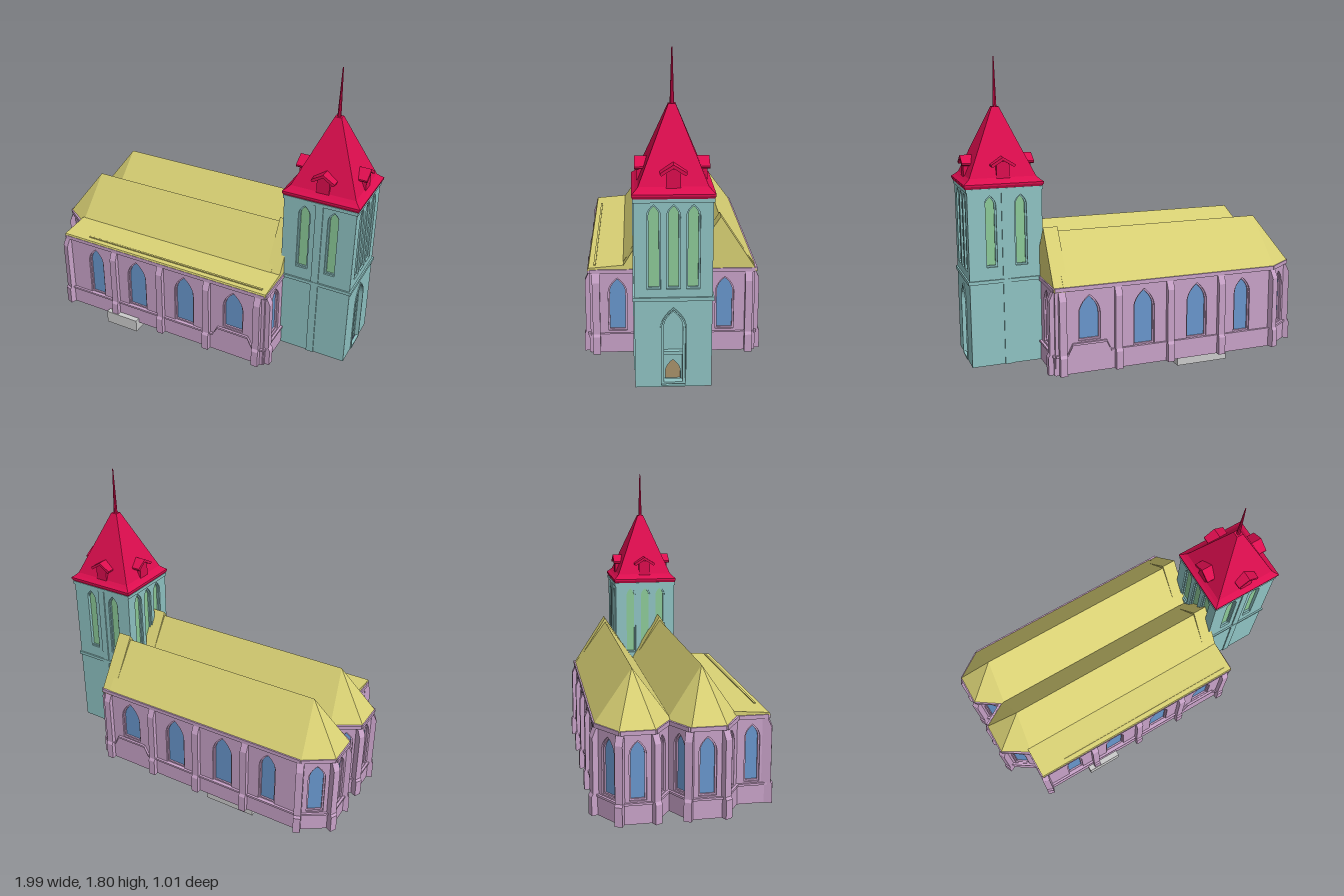
import * as THREE from 'three';
import { ConvexGeometry } from 'three/addons/geometries/ConvexGeometry.js';

const mat = (color) => new THREE.MeshStandardMaterial({ color, flatShading: true });
const M = {
  wall: mat(0xc8a2c8), roof: mat(0xd9d174), glass: mat(0x6896cc), tower: mat(0x8fc3c3), louvre: mat(0x8cca98),
  spire: mat(0xdc0d4e), floor: mat(0x3a4050), wood: mat(0xa8916a), stone: mat(0xcccccc),
};

function add(parent, name, geo, material) {
  const m = new THREE.Mesh(geo, material);
  m.name = name;
  parent.add(m);
  return m;
}

function box(parent, name, material, [x0, x1], [y0, y1], [z0, z1]) {
  const m = add(parent, name, new THREE.BoxGeometry(x1 - x0, y1 - y0, z1 - z0), material);
  m.position.set((x0 + x1) / 2, (y0 + y1) / 2, (z0 + z1) / 2);
  return m;
}

const polygon = (pts) => new THREE.Shape(pts.map(([x, y]) => new THREE.Vector2(x, y)));

// Extrudes a shape so that it lies between local z = back and z = front
function slab(parent, name, shape, material, back, front) {
  const geo = new THREE.ExtrudeGeometry(shape, { depth: front - back, bevelEnabled: false, curveSegments: 6 });
  geo.translate(0, 0, back);
  return add(parent, name, geo, material);
}

// Pointed-arch outline centred on u
function arch(u, w, y0, y1, Type = THREE.Shape) {
  const h = w * 0.9, r = w / 2, ys = y1 - h, s = new Type();
  s.moveTo(u - r, y0).lineTo(u + r, y0).lineTo(u + r, ys);
  s.quadraticCurveTo(u + r, ys + h * 0.55, u, y1);
  s.quadraticCurveTo(u - r, ys + h * 0.55, u - r, ys);
  s.closePath();
  return s;
}

function archRing(u, w, y0, y1, t) {
  const s = arch(u, w, y0, y1);
  s.holes.push(arch(u, w - 2 * t, y0 + t, y1 - t * 1.3, THREE.Path));
  return s;
}

// Wall from a to b: local x runs along it, local z points outward
function facade(parent, name, a, b, { y0 = 0.05, y1 = 0.55, depth = 0.03, material, pane, openings = [], holes = [] }) {
  const g = new THREE.Group();
  g.name = name;
  const dx = b[0] - a[0], dz = b[1] - a[1], len = Math.hypot(dx, dz);
  g.position.set(a[0], 0, a[1]);
  g.rotation.y = Math.atan2(-dz, dx);
  const s = polygon([[0, y0], [len, y0], [len, y1], [0, y1]]);
  for (const o of [...openings, ...holes]) s.holes.push(arch(...o, THREE.Path));
  slab(g, 'wallPanel', s, material, -depth, 0);
  for (const o of openings) {
    slab(g, 'windowPane', arch(...o), pane, -0.028, -0.02);
    slab(g, 'windowFrame', archRing(...o, 0.009), material, -0.022, -0.01);
  }
  parent.add(g);
  return { g, len };
}

// Stepped buttress with a sloping top, facing direction (dx, dz)
function buttress(parent, x, z, dx, dz) {
  const s = polygon([[-0.025, 0.05], [0.036, 0.05], [0.036, 0.155], [0.027, 0.17], [0.027, 0.48], [0, 0.54], [-0.025, 0.54]]);
  const geo = new THREE.ExtrudeGeometry(s, { depth: 0.042, bevelEnabled: false });
  geo.rotateY(-Math.PI / 2).translate(0.021, 0, 0);
  const m = add(parent, 'buttress', geo, M.wall);
  m.position.set(x, 0, z);
  m.rotation.y = Math.atan2(dx, dz);
}

function buildNave(root) {
  const g = new THREE.Group();
  g.name = 'nave';
  root.add(g);
  const plan = [[-0.81, 0.46], [0.57, 0.46], [0.57, -0.47], [-0.8, -0.47], [-0.96, -0.36], [-0.96, -0.18],
    [-0.82, -0.085], [-0.96, 0], [-0.96, 0.19], [-0.81, 0.29]];
  const bays = [[-0.595, 0.105, 0.165, 0.5], [-0.295, 0.13, 0.165, 0.5], [0.04, 0.13, 0.165, 0.5], [0.37, 0.13, 0.235, 0.5]];
  plan.forEach((a, i) => {
    const b = plan[(i + 1) % plan.length];
    const len = Math.hypot(b[0] - a[0], b[1] - a[1]);
    let openings = [[len / 2, Math.min(0.1, len * 0.5), 0.175, 0.5]];
    let rise = null;
    if (i === 0) { openings = bays.map(([x, ...r]) => [x + 0.81, ...r]); rise = 0.37 + 0.81; }
    if (i === 1) openings = [[0.155, 0.105, 0.18, 0.5], [0.76, 0.105, 0.18, 0.5]];
    if (i === 2) { openings = bays.map(([x, ...r]) => [0.57 - x, ...r]); rise = 0.2; }
    const { g: f } = facade(g, 'naveWall', a, b, { material: M.wall, pane: M.glass, openings });
    // Plinth and string course, stepping up below the raised window
    const line = (o) => {
      const bump = rise === null ? [] : [[rise - 0.13, 0.155], [rise - 0.1, 0.215], [rise + 0.1, 0.215], [rise + 0.13, 0.155]];
      return [[0, 0.155], ...bump, [len, 0.155]].map(([u, y]) => [u, y + o]);
    };
    slab(f, 'plinth', polygon([[0, 0.05], ...line(0), [len, 0.05]]), M.wall, 0, 0.007);
    slab(f, 'stringCourse', polygon([...line(0), ...line(0.012).reverse()]), M.wall, 0, 0.014);
    box(f, 'cornice', M.wall, [0, len], [0.53, 0.553], [0, 0.012]);
  });
  for (const x of [-0.45, -0.12, 0.2, 0.53]) {
    buttress(g, x, 0.46, 0, 1);
    buttress(g, x, -0.47, 0, -1);
  }
  buttress(g, 0.57, 0.425, 1, 0);
  buttress(g, 0.57, -0.435, 1, 0);
  buttress(g, -0.8, 0.46, -0.35, 1);
  buttress(g, -0.8, -0.47, -0.35, -1);
  for (const [z, d] of [[-0.36, -0.5], [-0.18, 0.5], [0, -0.5], [0.19, 0.5]]) buttress(g, -0.955, z, -1, d);
  // Floor plate
  const floor = slab(g, 'floor', polygon(plan.map(([x, z]) => [x, -z])), M.floor, 0, 0.01);
  floor.rotation.x = -Math.PI / 2;
  floor.position.y = 0.048;
}

function buildRoofs(root) {
  const g = new THREE.Group();
  g.name = 'naveRoofs';
  root.add(g);
  for (const [z, h] of [[-0.272, 0.205], [0.1, 0.192]]) {
    // Ridged roof with a three-sided hip over the apse
    const pts = [[0.52, 0.83, z], [-0.77, 0.83, z]];
    for (const s of [-1, 1]) pts.push([0.52, 0.548, z + s * h], [-0.805, 0.548, z + s * h], [-0.968, 0.548, z + s * 0.095]);
    add(g, 'hippedRoof', new ConvexGeometry(pts.map((p) => new THREE.Vector3(...p))), M.roof);
    // Raised gable end
    const gable = slab(g, 'gable', polygon([[-h - 0.006, 0.53], [h + 0.006, 0.53], [0, 0.855]]), M.roof, -0.0425, 0.0425);
    gable.rotation.y = Math.PI / 2;
    gable.position.set(0.5325, 0, z);
  }
  // Low lean-to roof over the side aisle
  const lean = slab(g, 'aisleRoof', polygon([[-0.27, 0.54], [-0.27, 0.578], [-0.465, 0.562], [-0.472, 0.548]]), M.roof, -0.815, 0.575);
  lean.rotation.y = Math.PI / 2;
  box(g, 'aisleRidgeTrim', M.roof, [-0.65, 0.54], [0.555, 0.571], [0.425, 0.437]);
}

function buildTower(root) {
  const g = new THREE.Group();
  g.name = 'tower';
  root.add(g);
  const [x0, x1, z0, z1] = [0.555, 0.98, -0.19, 0.21];
  const W = x1 - x0, D = z1 - z0;
  const two = [W / 2 - 0.087, W / 2 + 0.087].map((u) => [u, 0.07, 0.63, 1.04]);
  const three = [-0.1, 0, 0.1].map((o) => [D / 2 + o, 0.07, 0.6, 1.05]);
  const corners = [[x0, z1], [x1, z1], [x1, z0], [x0, z0]];
  const base = { y1: 1.08, material: M.tower, pane: M.louvre };
  corners.forEach((a, i) => {
    const portal = i === 1;
    const { g: f, len } = facade(g, 'towerWall', a, corners[(i + 1) % 4], {
      ...base, openings: i % 2 ? three : two, depth: portal ? 0.1 : 0.03,
      holes: portal ? [[D / 2, 0.125, 0.053, 0.485]] : [],
    });
    box(f, 'stringCourse', M.tower, [-0.008, len + 0.008], [0.537, 0.557], [-0.01, 0.009]);
    box(f, 'topCourse', M.tower, [-0.006, len + 0.006], [1.06, 1.08], [-0.01, 0.006]);
    if (i % 2 === 0) box(f, 'centreStrip', M.tower, [len / 2 - 0.022, len / 2 + 0.022], [0.05, 1.08], [0, 0.007]);
    if (portal) {
      // Deep stepped portal with a small door
      const back = arch(D / 2, 0.125, 0.053, 0.485);
      back.holes.push(arch(D / 2, 0.08, 0.056, 0.175, THREE.Path));
      slab(f, 'portalBack', back, M.tower, -0.09, -0.06);
      slab(f, 'portalMoulding', archRing(D / 2, 0.125, 0.053, 0.485, 0.013), M.tower, -0.06, -0.02);
      slab(f, 'portalHood', archRing(D / 2, 0.14, 0.053, 0.5, 0.008), M.tower, -0.01, 0.006);
      box(f, 'portalLintel', M.tower, [D / 2 - 0.06, D / 2 + 0.06], [0.215, 0.235], [-0.06, -0.035]);
      box(f, 'door', M.wood, [D / 2 - 0.05, D / 2 + 0.05], [0.05, 0.2], [-0.1, -0.085]);
    }
  });
  box(g, 'towerFloor', M.floor, [x0 + 0.005, x1 - 0.005], [0.048, 0.055], [z0 + 0.005, z1 - 0.005]);
}

function buildSpire(root) {
  const g = new THREE.Group();
  g.name = 'spire';
  g.position.set(0.77, 0, 0.01);
  root.add(g);
  // Four-sided roof with flared eaves
  const profile = [[0, 1.08], [0.218, 1.08], [0.226, 1.095], [0.226, 1.105], [0.208, 1.118], [0.19, 1.135], [0.02, 1.52], [0, 1.52]];
  const geo = new THREE.LatheGeometry(profile.map(([r, y]) => new THREE.Vector2(r * Math.SQRT2, y)), 4, Math.PI / 4);
  add(g, 'spireRoof', geo, M.spire).scale.z = 0.93;
  add(g, 'finial', new THREE.CylinderGeometry(0.003, 0.012, 0.3, 8), M.spire).position.y = 1.65;
  // One gabled dormer per side
  for (let i = 0; i < 4; i++) {
    const d = new THREE.Group();
    d.name = 'dormer';
    d.rotation.y = (i * Math.PI) / 2;
    const out = i % 2 ? 0.208 : 0.193;
    box(d, 'dormerBody', M.spire, [-0.037, 0.037], [1.11, 1.225], [0.1, out - 0.012]);
    const cap = [[-0.068, 1.2], [-0.06, 1.193], [0, 1.232], [0.06, 1.193], [0.068, 1.2], [0.068, 1.208], [0, 1.25], [-0.068, 1.208]];
    slab(d, 'dormerRoof', polygon(cap), M.spire, 0.1, out);
    g.add(d);
  }
}

export function createModel() {
  const root = new THREE.Group();
  root.name = 'church';
  buildNave(root);
  buildRoofs(root);
  buildTower(root);
  buildSpire(root);
  // Foundation blocks below the floor
  box(root, 'frontStep', M.stone, [-0.51, -0.29], [0, 0.08], [0.27, 0.5]);
  box(root, 'foundation', M.stone, [-0.29, 0.16], [0, 0.048], [0.06, 0.27]);
  box(root, 'foundation', M.stone, [-0.29, 0.24], [0, 0.048], [-0.18, -0.02]);
  box(root, 'foundation', M.stone, [-0.5, -0.18], [0, 0.048], [-0.46, -0.22]);
  return root;
}
